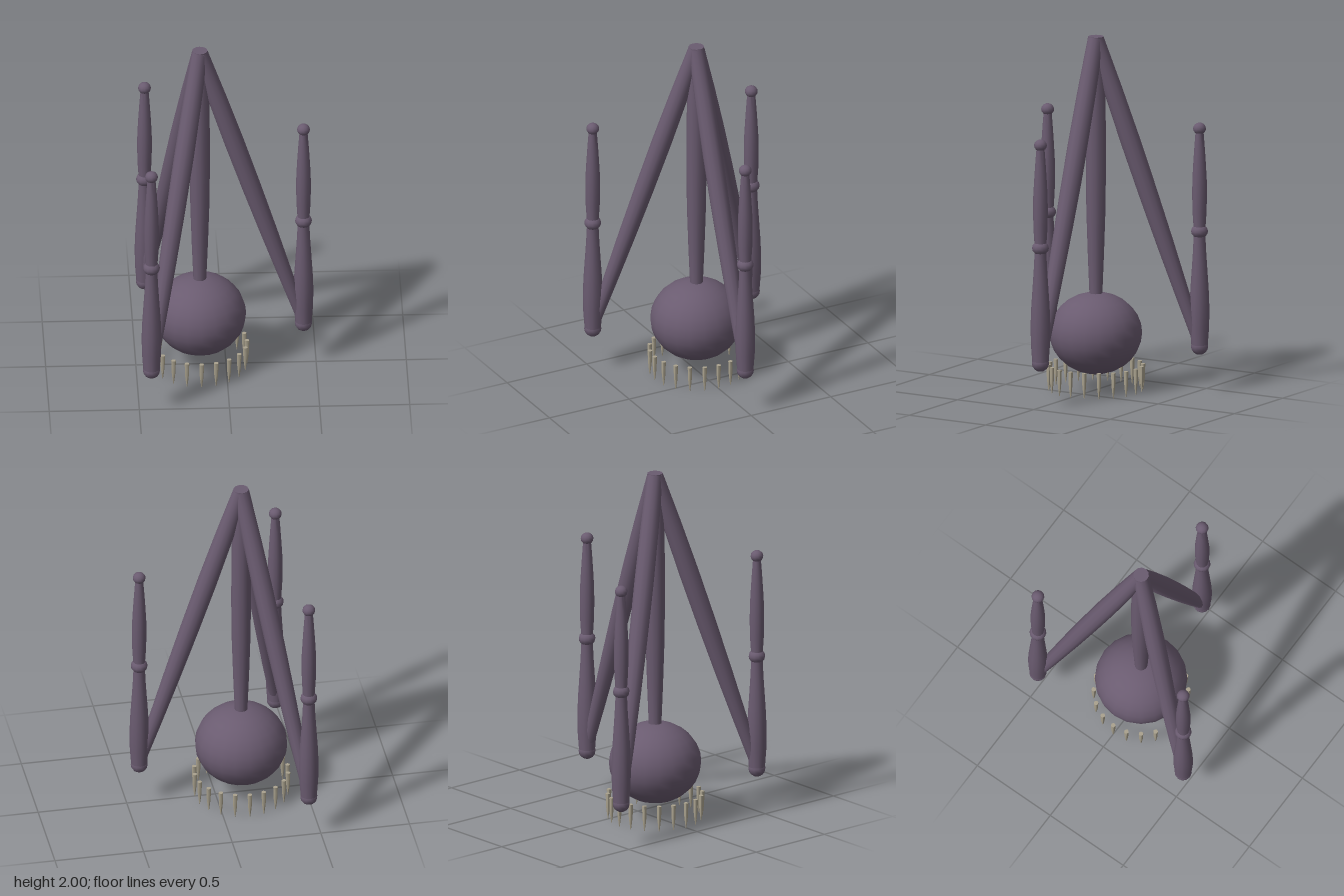
import * as THREE from 'three';
import { toCreasedNormals } from 'three/addons/utils/BufferGeometryUtils.js';

const HUB_X = -0.145;   // axis of the body, column and claw ring
const REACH = 0.575;    // distance of the limbs from that axis

export function createModel() {
  const model = new THREE.Group();
  model.name = 'tripodCreature';
  const skin = new THREE.MeshStandardMaterial({ color: 0x6a5b70 });
  skin.name = 'dusky purple skin';
  const bone = new THREE.MeshStandardMaterial({ color: 0xaaa28e });
  bone.name = 'bone';

  const add = (parent, name, geometry, material, x, y, z) => {
    const mesh = new THREE.Mesh(geometry, material);
    mesh.name = name;
    mesh.position.set(x, y, z);
    parent.add(mesh);
    return mesh;
  };

  // closed spindle along +y; radii are spaced evenly from bottom to top
  const spindle = (length, radii, sides) => {
    const points = radii.map((r, i) => new THREE.Vector2(r, (length * i) / (radii.length - 1)));
    points.unshift(new THREE.Vector2(0, 0));
    points.push(new THREE.Vector2(0, length));
    return toCreasedNormals(new THREE.LatheGeometry(points, sides), 0.9);
  };

  const ball = (rx, ry, w = 12, h = 8) => new THREE.SphereGeometry(rx, w, h).scale(1, ry / rx, 1);

  const hub = new THREE.Group();
  hub.name = 'hub';
  hub.position.x = HUB_X;
  model.add(hub);

  // bulbous body hanging from the central column
  add(hub, 'body', ball(0.257, 0.229, 20, 14), skin, 0, 0.322, 0);
  add(hub, 'centralColumn', spindle(1.48, [0.035, 0.045, 0.053, 0.056, 0.055, 0.051, 0.043], 12),
    skin, 0, 0.52, 0);

  // three folded limbs, one towards +x
  const thighTop = new THREE.Vector3(0, 1.985, 0);
  const knee = new THREE.Vector3(REACH, 0.26, 0);
  const rise = thighTop.clone().sub(knee);
  const thighGeometry = spindle(rise.length(), [0.03, 0.04, 0.048, 0.053, 0.055, 0.052, 0.045], 12);
  const shinGeometry = spindle(0.64, [0.045, 0.053, 0.055, 0.051, 0.044, 0.037, 0.032], 12);
  const footGeometry = spindle(0.55, [0.033, 0.039, 0.041, 0.04, 0.035, 0.029, 0.022], 12);
  for (let i = 0; i < 3; i++) {
    const limb = new THREE.Group();
    limb.name = 'limb' + (i + 1);
    limb.rotation.y = (i * Math.PI * 2) / 3;
    hub.add(limb);
    const thigh = add(limb, 'thigh', thighGeometry, skin, knee.x, knee.y, 0);
    thigh.quaternion.setFromUnitVectors(new THREE.Vector3(0, 1, 0), rise.clone().normalize());
    add(limb, 'kneeBall', ball(0.048, 0.047), skin, REACH, 0.25, 0);
    add(limb, 'shin', shinGeometry, skin, REACH, 0.25, 0);
    add(limb, 'ankleBall', ball(0.047, 0.04), skin, REACH, 0.902, 0);
    add(limb, 'foot', footGeometry, skin, REACH, 0.92, 0);
    add(limb, 'tipBall', ball(0.036, 0.033), skin, REACH, 1.483, 0);
  }

  // ring of downward teeth around the underside
  const toothGeometry = spindle(0.145, [0.002, 0.007, 0.011, 0.012, 0.013], 8);
  for (let i = 0; i < 20; i++) {
    const a = (i * Math.PI) / 10;
    add(hub, 'tooth' + (i + 1), toothGeometry, bone, 0.262 * Math.cos(a), 0, 0.262 * Math.sin(a));
  }
  return model;
}
